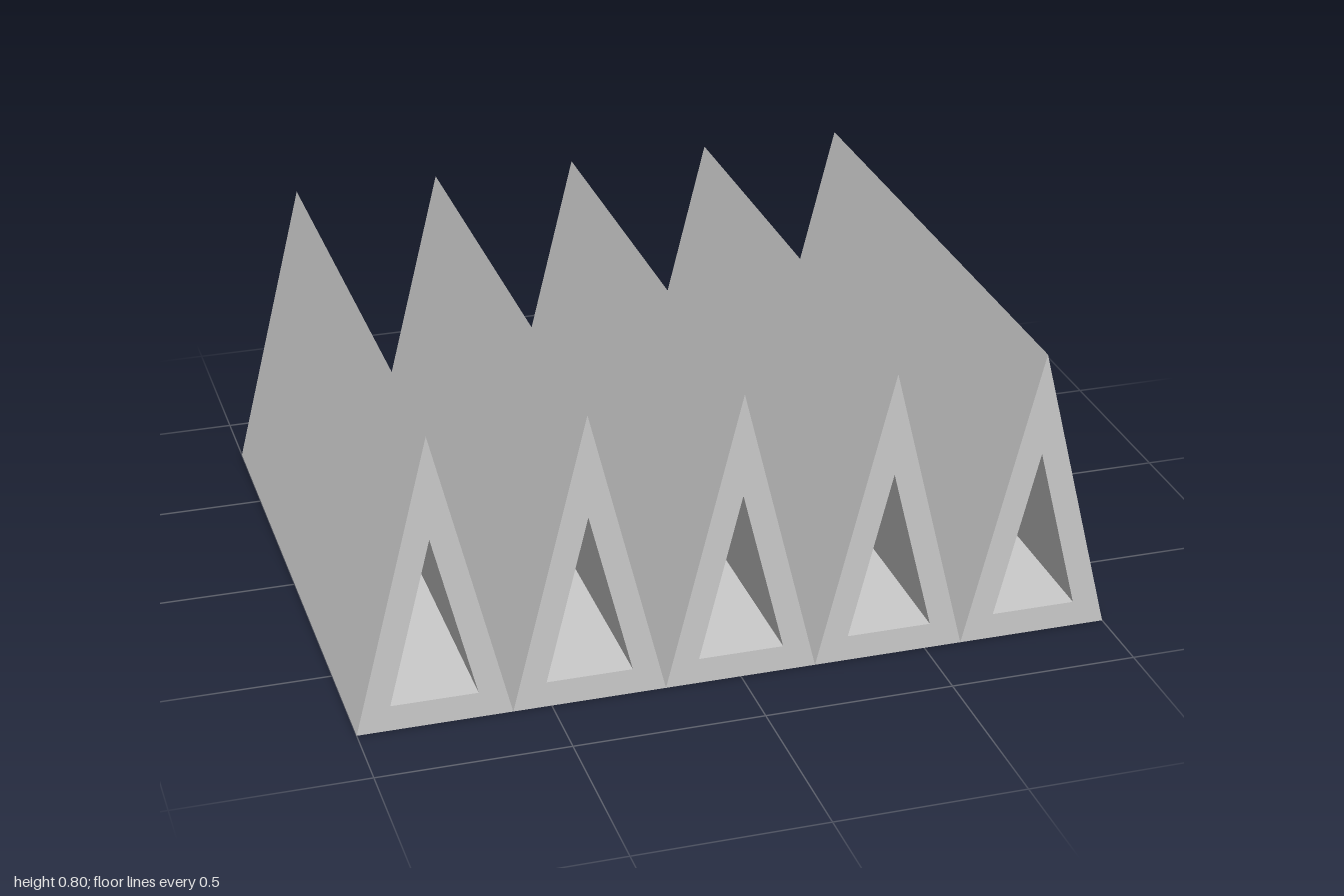
import * as THREE from 'three';

const COUNT = 5, PITCH = 0.4, HEIGHT = 0.8, DEPTH = 1.6;

// Adds an isosceles triangle to a shape or path
function triangle(path, halfWidth, bottom, top) {
  path.moveTo(-halfWidth, bottom);
  path.lineTo(halfWidth, bottom);
  path.lineTo(0, top);
  path.closePath();
  return path;
}

export function createModel() {
  const model = new THREE.Group();
  model.name = 'ridgedRoof';
  const material = new THREE.MeshStandardMaterial({ color: 0xcccccc, flatShading: true });

  // Hollow triangular prism, open at both ends
  const section = triangle(new THREE.Shape(), PITCH / 2, 0, HEIGHT);
  section.holes.push(triangle(new THREE.Path(), 0.1125, 0.07, 0.52));
  const geometry = new THREE.ExtrudeGeometry(section, { depth: DEPTH, bevelEnabled: false });
  geometry.translate(0, 0, -DEPTH / 2);

  // Row of identical ridges side by side
  for (let i = 0; i < COUNT; i++) {
    const ridge = new THREE.Mesh(geometry, material);
    ridge.name = `ridge${i + 1}`;
    ridge.position.x = (i - (COUNT - 1) / 2) * PITCH;
    model.add(ridge);
  }
  return model;
}
